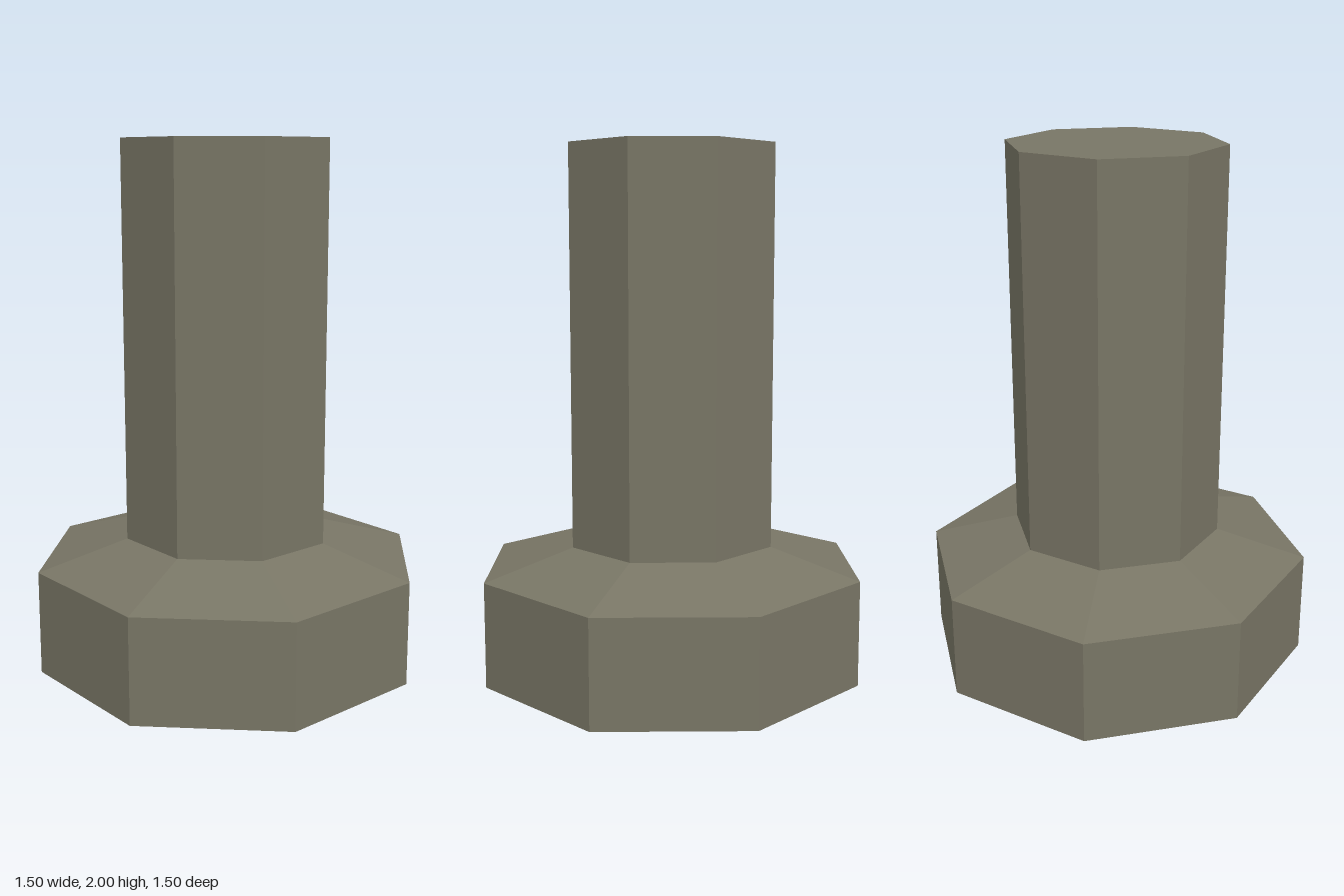
import * as THREE from 'three';

const SIDES = 8;

export function createModel() {
  const body = new THREE.MeshStandardMaterial({ color: 0x787565, flatShading: true });
  body.name = 'greyBrown';
  const lens = new THREE.MeshStandardMaterial({ color: 0xccc060, flatShading: true });
  lens.name = 'paleYellow';

  const group = new THREE.Group();
  const add = (name, geometry, material) => {
    const mesh = new THREE.Mesh(geometry, material);
    mesh.name = name;
    group.add(mesh);
    return mesh;
  };
  // Faceted eight-sided shell; profile runs upward on the outside
  const lathe = (points) => {
    const g = new THREE.LatheGeometry(points.map(([r, y]) => new THREE.Vector2(r, y)), SIDES).toNonIndexed();
    g.computeVertexNormals();
    return g;
  };

  // Flared head with a hollow underside, rim and sloping shoulder
  add('head', lathe([[0.64, 0.2], [0.64, 0], [0.75, 0], [0.75, 0.4], [0.405, 0.5]]), body);

  // Straight stem, closed at the top
  const stem = add('stem', new THREE.CylinderGeometry(0.405, 0.405, 1.5, SIDES), body);
  stem.position.y = 1.25;

  // Recessed panel facing down inside the head
  const panel = add('recessPanel', new THREE.CircleGeometry(0.64, SIDES), lens);
  panel.rotation.x = Math.PI / 2;
  panel.position.y = 0.2;

  return group;
}
